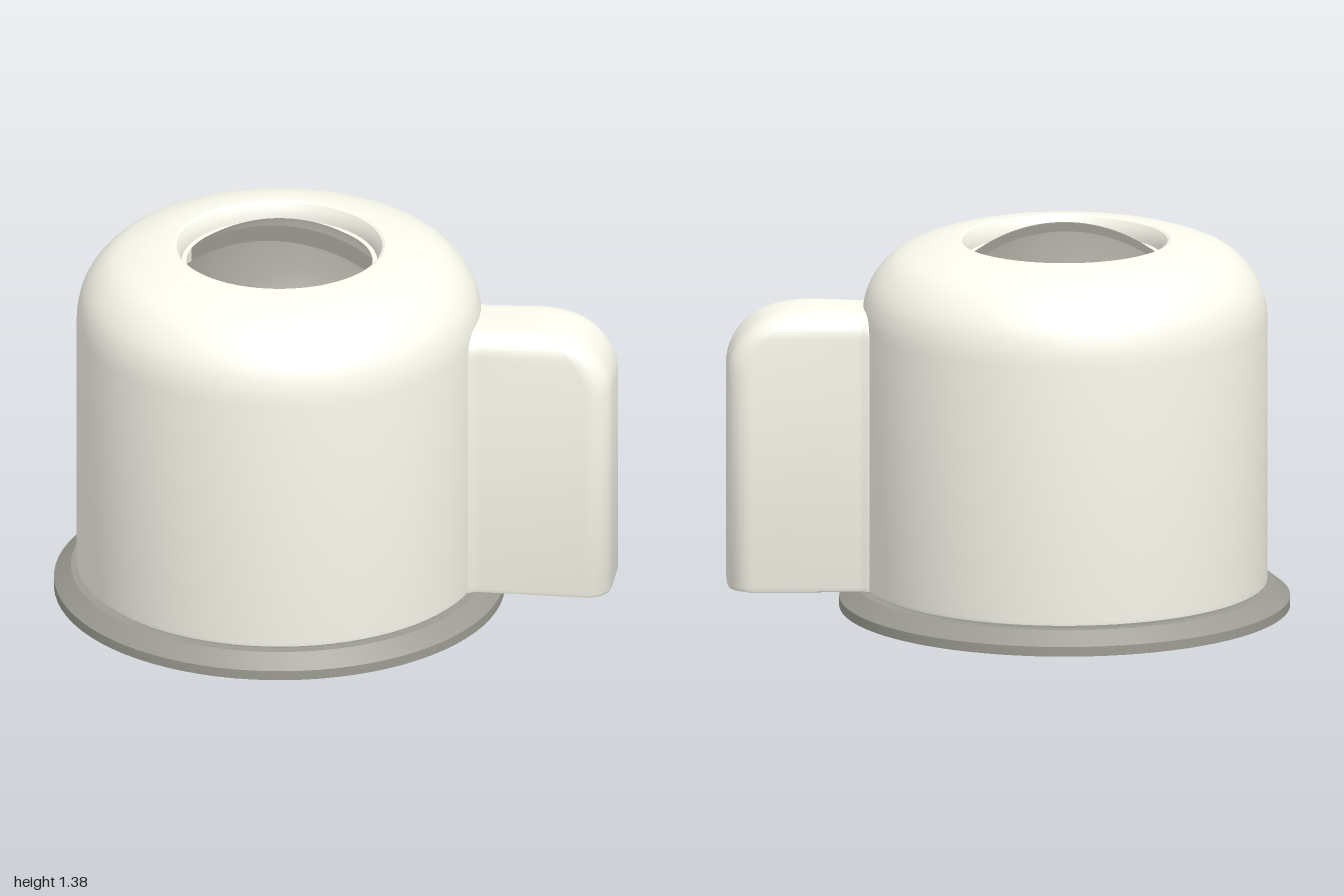
import * as THREE from 'three';
import { toCreasedNormals } from 'three/addons/utils/BufferGeometryUtils.js';
import { ParametricGeometry } from 'three/addons/geometries/ParametricGeometry.js';

const CX = -0.2; // axis of the round body
const light = new THREE.MeshStandardMaterial({ color: 0xfcfcf0 });
const dark = new THREE.MeshStandardMaterial({ color: 0x9c9c93, side: THREE.DoubleSide });

function addMesh(parent, name, geometry, material) {
  const mesh = new THREE.Mesh(geometry, material);
  mesh.name = name;
  parent.add(mesh);
  return mesh;
}

function lathe(points, crease = 0.5) {
  const profile = points.map(([r, y]) => new THREE.Vector2(r, y));
  return toCreasedNormals(new THREE.LatheGeometry(profile, 80), crease);
}

// Handle: stacked rounded sections, open on the side buried in the body
function handleGeometry() {
  const levels = [[0.085, 0.98, 0.147], [0.09, 0.993, 0.16], [0.105, 1, 0.165]];
  for (let k = 0; k <= 14; k++) {
    const a = (k / 14) * Math.PI / 2;
    const y = 0.87 + 0.23 * Math.sin(a);
    const s = Math.max(0, (y - 1.02) / 0.08);
    levels.push([y, 0.74 + 0.26 * Math.cos(a), 0.085 + 0.08 * Math.sqrt(Math.max(0, 1 - s * s))]);
  }
  const positions = [], index = [];
  const r = 0.085;
  let n = 0;
  for (const [y, xMax, hz] of levels) {
    // small flare where the handle meets the body
    const half = [[0.3, hz + 0.012], [0.5, hz + 0.012], [0.515, hz + 0.004], [0.535, hz]];
    for (let k = 0; k <= 6; k++) {
      const a = (k / 6) * Math.PI / 2;
      half.push([xMax - r + r * Math.sin(a), hz - r + r * Math.cos(a)]);
    }
    const loop = [...half, ...half.slice().reverse().map(([x, z]) => [x, -z])];
    n = loop.length;
    // the top dips slightly towards the body
    const dip = Math.max(0, (y - 1) / 0.1) * 0.05;
    for (const [x, z] of loop) positions.push(x, y - dip * Math.max(0, 0.7 - Math.max(x, 0.5)), z);
  }
  for (let j = 0; j < levels.length - 1; j++) {
    for (let i = 0; i < n - 1; i++) {
      const a = j * n + i, b = a + 1, c = b + n, d = a + n;
      index.push(a, b, c, a, c, d);
    }
  }
  // caps join mirrored points across the section
  const top = (levels.length - 1) * n;
  for (let i = 0; i < n / 2 - 1; i++) {
    const a = i, b = i + 1, c = n - 2 - i, d = n - 1 - i;
    index.push(top + a, top + b, top + c, top + a, top + c, top + d);
    index.push(a, c, b, a, d, c);
  }
  const g = new THREE.BufferGeometry();
  g.setAttribute('position', new THREE.Float32BufferAttribute(positions, 3));
  g.setIndex(index);
  return toCreasedNormals(g, 0.7);
}

// Domed insert shared by both knob halves and the slot floor
const KNOB_R = 0.33, SLOT = 0.065, DOME_R = 0.54, DOME_TOP = 1.379;
const domeY = (x, z) => DOME_TOP - DOME_R + Math.sqrt(DOME_R * DOME_R - x * x - z * z);
const halfWidth = z => Math.sqrt(Math.max(0, KNOB_R * KNOB_R - z * z));

function domeStrip(z0, z1, drop) {
  return new ParametricGeometry((u, v, p) => {
    const z = z0 + (z1 - z0) * Math.sin(v * Math.PI / 2);
    const x = (u * 2 - 1) * halfWidth(z);
    p.set(x, domeY(x, z) - drop, z);
  }, 24, 12);
}

function slotWall() {
  return new ParametricGeometry((u, v, p) => {
    const x = (u * 2 - 1) * halfWidth(SLOT);
    p.set(x, domeY(x, SLOT) - 0.07 * v, SLOT);
  }, 24, 1);
}

export function createModel() {
  const model = new THREE.Group();
  model.name = 'cappedHousing';

  const round = new THREE.Group();
  round.name = 'roundParts';
  round.position.x = CX;
  model.add(round);

  // Base flange with a chamfered edge
  addMesh(round, 'baseFlange',
    lathe([[0, 0], [0.8, 0], [0.8, 0.035], [0.74, 0.082], [0, 0.082]], 0.3), dark);

  // Body shell: rounded shoulder, then a recess at the top
  const shoulder = new THREE.SplineCurve([
    [0.72, 1.03], [0.715, 1.09], [0.695, 1.16], [0.65, 1.228], [0.59, 1.278],
    [0.5, 1.313], [0.43, 1.328], [0.375, 1.333],
  ].map(([r, y]) => new THREE.Vector2(r, y))).getPoints(24).map(p => [p.x, p.y]);
  addMesh(round, 'bodyShell', lathe([
    [0.6, 0.08], [0.7, 0.08], [0.711, 0.085], [0.718, 0.093], [0.72, 0.105], ...shoulder,
    [0.365, 1.328], [0.355, 1.31], [0.348, 1.285], [0.347, 1.268], [0.33, 1.268], [0.33, 1.17],
  ]), light);

  // Slotted knob set in the recess
  const knob = new THREE.Group();
  knob.name = 'slottedKnob';
  round.add(knob);
  for (const side of [1, -1]) {
    const half = new THREE.Group();
    half.name = side > 0 ? 'frontKnobHalf' : 'backKnobHalf';
    half.scale.z = side;
    addMesh(half, 'knobDome', domeStrip(SLOT, KNOB_R, 0), dark);
    addMesh(half, 'slotWall', slotWall(), dark);
    knob.add(half);
  }
  addMesh(knob, 'slotFloor', domeStrip(-SLOT, SLOT, 0.065), dark);

  addMesh(model, 'handle', handleGeometry(), light);
  return model;
}
